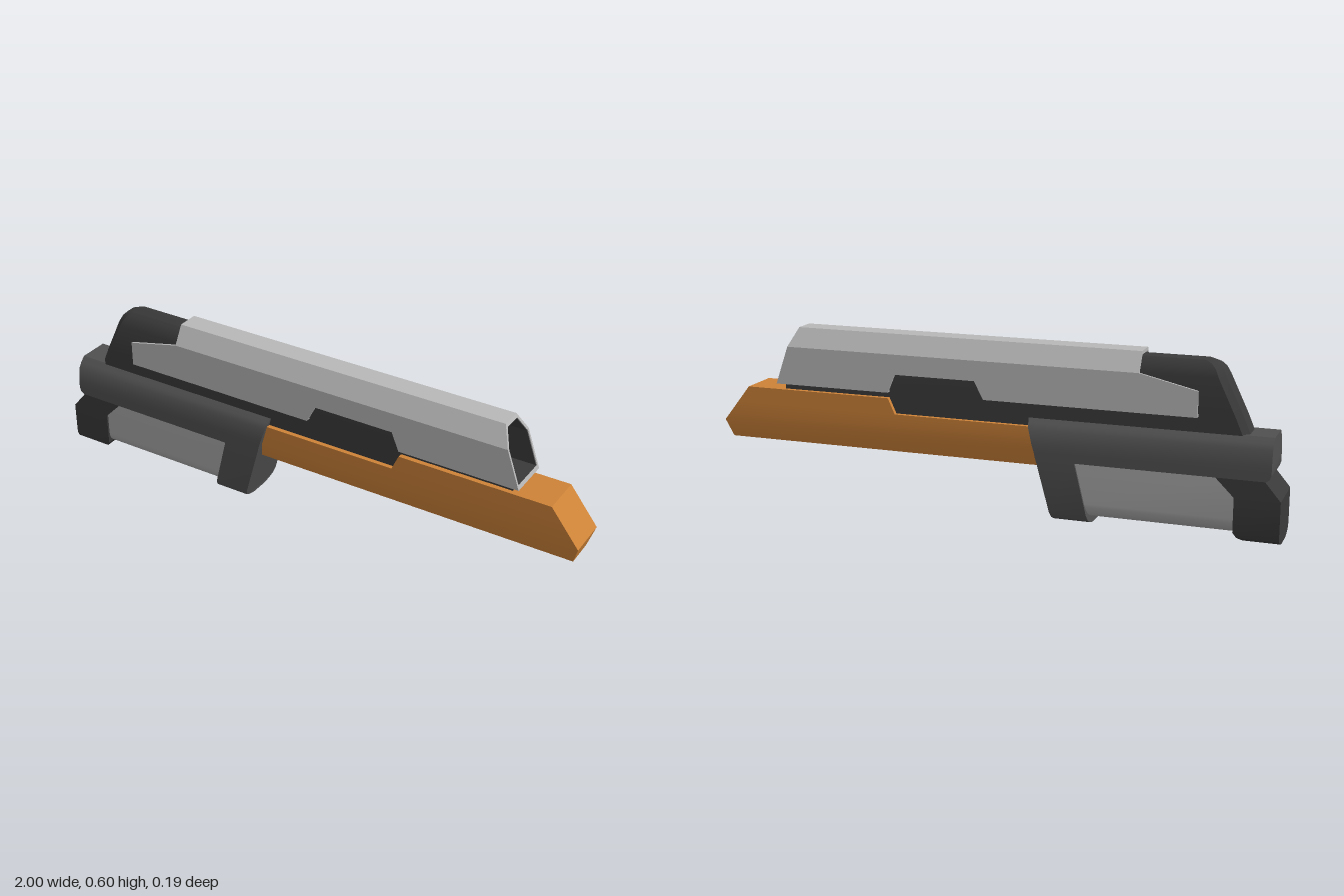
import * as THREE from 'three';
import { toCreasedNormals } from 'three/addons/utils/BufferGeometryUtils.js';

const mat = (color) => new THREE.MeshStandardMaterial({ color });
const light = mat(0xb8b8b8), silver = mat(0xa8a8a8), mid = mat(0x505050);
const dark = mat(0x3a3a3a), orange = mat(0xcd8238);

// Solid stacked from horizontal slices, bottom to top:
// [y, half width in z, rear x, front x], with optional cut rear corners.
function stack(rows, cut = 0) {
  const pos = [];
  const tri = (a, b, c) => pos.push(...a, ...b, ...c);
  const rings = rows.map(([y, w, xb, xf]) => {
    const front = [[xf, y, w], [xf, y, -w]];
    const rear = cut
      ? [[xb + cut, y, -w], [xb, y, cut - w], [xb, y, w - cut], [xb + cut, y, w]]
      : [[xb, y, -w], [xb, y, w]];
    return front.concat(rear);
  });
  const n = rings[0].length, top = rings[rings.length - 1], low = rings[0];
  for (let r = 0; r + 1 < rings.length; r++) {
    for (let i = 0; i < n; i++) {
      const j = (i + 1) % n, a = rings[r], b = rings[r + 1];
      tri(a[i], a[j], b[j]);
      tri(a[i], b[j], b[i]);
    }
  }
  for (let i = 1; i + 1 < n; i++) {
    tri(top[0], top[i], top[i + 1]);
    tri(low[0], low[i + 1], low[i]);
  }
  const g = new THREE.BufferGeometry();
  g.setAttribute('position', new THREE.Float32BufferAttribute(pos, 3));
  g.computeVertexNormals();
  return toCreasedNormals(g, 0.5);
}

const outline = (pts) => new THREE.Shape(pts.map(([x, y]) => new THREE.Vector2(x, y)));

// Slanted muzzle line of the barrel
const muzzleX = (y) => (y < 0.535 ? 0.787 - 0.35 * (y - 0.4) : 0.74 - 0.46 * (y - 0.535));

// Section in z and y run along x, ending on the muzzle line
function muzzleRun(shape, x0, inset = 0) {
  const g = new THREE.ExtrudeGeometry(shape, { depth: 1, bevelEnabled: false });
  g.rotateY(Math.PI / 2);
  const p = g.attributes.position;
  for (let i = 0; i < p.count; i++) {
    p.setX(i, p.getX(i) > 0.5 ? muzzleX(p.getY(i)) - inset : x0);
  }
  g.computeVertexNormals();
  return g;
}

// Six-sided barrel section
const section = (w, tw, y0, y1, y2) => [[-w, y0], [w, y0], [w, y1], [tw, y2], [-tw, y2], [-w, y1]];

export function createModel() {
  const model = new THREE.Group();
  const add = (name, geometry, material, parent = model) => {
    const m = new THREE.Mesh(geometry, material);
    m.name = name;
    parent.add(m);
    return m;
  };

  // Barrel shroud: thin notched sides, chamfered roof, split floor
  const barrel = new THREE.Group();
  barrel.name = 'barrelShroud';
  model.add(barrel);
  const side = outline([
    [-0.72, 0.403], [0.01, 0.403], [0.042, 0.465], [0.333, 0.465], [0.36, 0.4],
    [muzzleX(0.4), 0.4], [muzzleX(0.535), 0.535], [-0.525, 0.535], [-0.72, 0.49],
  ]);
  for (const z of [-0.076, 0.068]) {
    const g = new THREE.ExtrudeGeometry(side, { depth: 0.008, bevelEnabled: false });
    add('shroudSide', g, light, barrel).position.z = z;
  }
  add('shroudRoof', muzzleRun(outline([
    [0.076, 0.535], [0.038, 0.6], [-0.038, 0.6], [-0.076, 0.535],
    [-0.068, 0.53], [-0.034, 0.588], [0.034, 0.588], [0.068, 0.53],
  ]), -0.525), light, barrel);
  add('shroudFloorRear', stack([[0.403, 0.07, -0.72, 0.01], [0.412, 0.07, -0.72, 0.01]]), light, barrel);
  add('shroudFloorFront', stack([
    [0.4, 0.07, 0.36, muzzleX(0.4)], [0.412, 0.07, 0.36, muzzleX(0.412)],
  ]), light, barrel);

  // Dark bore lining, closed by the core further back
  const lining = outline(section(0.068, 0.034, 0.411, 0.53, 0.588));
  lining.holes.push(new THREE.Path(outline(section(0.066, 0.032, 0.414, 0.53, 0.586)).getPoints()));
  add('boreLining', muzzleRun(lining, 0.45, 0.003), dark);
  add('borePlug', stack([
    [0.412, 0.067, 0.45, 0.6], [0.53, 0.067, 0.45, 0.6], [0.587, 0.033, 0.45, 0.6],
  ]), dark);

  // Core: inner body with a sloped, rounded tail
  add('core', stack([
    [0.32, 0.058, -0.9, 0.36], [0.4, 0.058, -0.866, 0.36], [0.405, 0.058, -0.864, 0.5],
    [0.535, 0.058, -0.802, 0.5], [0.56, 0.048, -0.79, 0.5],
    [0.575, 0.038, -0.775, 0.5], [0.584, 0.028, -0.755, 0.5],
  ], 0.022), dark);
  add('underBarrelStrip', stack([[0.37, 0.057, 0.3, 0.76], [0.402, 0.057, 0.3, 0.76]]), dark);

  // Fore-end with a raised front half
  add('foreEnd', stack([
    [0.188, 0.052, -0.25, 0.98], [0.252, 0.074, -0.25, 1], [0.325, 0.074, -0.25, 0.943],
    [0.325, 0.074, 0.335, 0.943], [0.38, 0.074, 0.36, 0.9],
  ]), orange);

  // Frame rail and the slanted front post
  add('frameRail', stack([
    [0.217, 0.093, -0.95, -0.183], [0.225, 0.093, -0.962, -0.18], [0.24, 0.093, -0.967, -0.177],
    [0.27, 0.093, -0.967, -0.168], [0.32, 0.085, -0.967, -0.154], [0.337, 0.073, -0.967, -0.15],
    [0.355, 0.055, -0.967, -0.145],
  ]), mid);
  add('frontPost', stack([
    [0.005, 0.035, -0.368, -0.24], [0.011, 0.063, -0.367, -0.24], [0.022, 0.084, -0.365, -0.237],
    [0.042, 0.093, -0.36, -0.231], [0.22, 0.093, -0.316, -0.182],
  ]), mid);

  // Rear block with rounded underside
  add('rearBlock', stack([
    [0, 0.035, -1, -0.89], [0.007, 0.064, -1, -0.878], [0.02, 0.085, -1, -0.862],
    [0.038, 0.092, -1, -0.85], [0.155, 0.092, -1, -0.85], [0.22, 0.092, -0.945, -0.785],
  ]), dark);

  // Rounded canister held between block and post
  const rows = [];
  for (let i = 0; i <= 6; i++) {
    const a = (i / 6) * Math.PI / 2;
    rows.push([0.08 - 0.05 * Math.cos(a), 0.04 + 0.045 * Math.sin(a), -0.87, -0.33]);
  }
  rows.push([0.22, 0.085, -0.87, -0.29]);
  add('canister', stack(rows), silver);

  return model;
}
